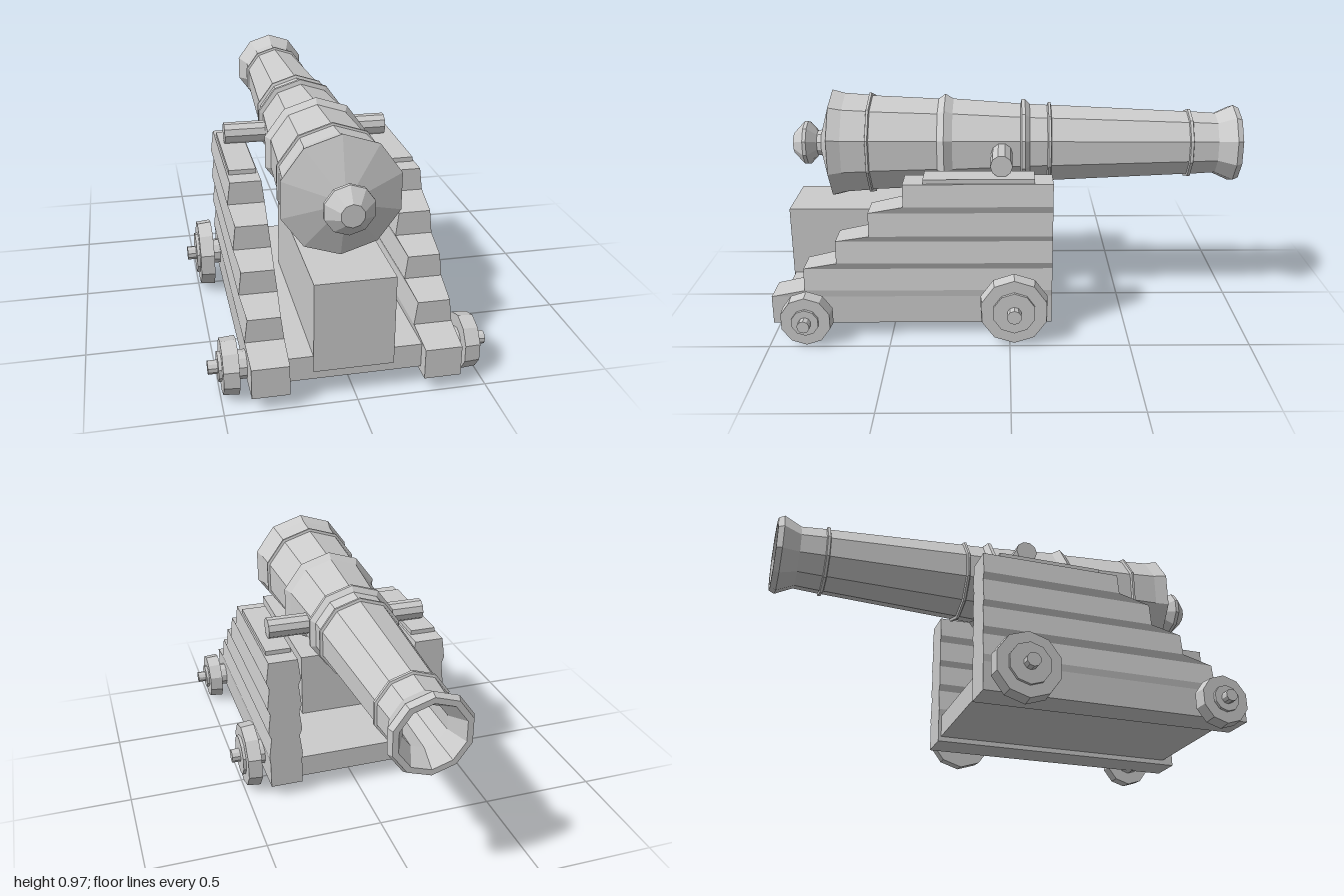
import * as THREE from 'three';

const SIDES = 10;
const grey = new THREE.MeshStandardMaterial({ color: 0xcccccc, flatShading: true });

function part(name, geometry, x = 0, y = 0, z = 0) {
  const mesh = new THREE.Mesh(geometry, grey);
  mesh.name = name;
  mesh.position.set(x, y, z);
  return mesh;
}

// Box given by its limits on each axis
function block(name, [x0, x1], [y0, y1], [z0, z1]) {
  return part(name, new THREE.BoxGeometry(x1 - x0, y1 - y0, z1 - z0),
    (x0 + x1) / 2, (y0 + y1) / 2, (z0 + z1) / 2);
}

// Barrel, turned from [z, radius] pairs: knob, breech, rings, muzzle, bore
function barrelGeometry() {
  const profile = [
    [0.945, 0], [0.945, 0.045], [0.895, 0.098], [0.88, 0.098], [0.84, 0.055], [0.82, 0.06],
    [0.765, 0.24], [0.71, 0.225],
    [0.607, 0.217], [0.605, 0.226], [0.595, 0.226], [0.592, 0.214],
    [0.305, 0.2], [0.275, 0.221], [0.24, 0.2],
    [-0.05, 0.178], [-0.055, 0.197], [-0.07, 0.197], [-0.09, 0.176],
    [-0.165, 0.172], [-0.17, 0.184], [-0.18, 0.184], [-0.183, 0.172],
    [-0.775, 0.143], [-0.778, 0.153], [-0.79, 0.153], [-0.793, 0.143],
    [-0.9, 0.136], [-0.975, 0.171], [-1, 0.159],
    [-1, 0.135], [-0.92, 0.09], [-0.6, 0.085], [-0.6, 0],
  ];
  const points = profile.map(([z, r]) => new THREE.Vector2(r, -z));
  return new THREE.LatheGeometry(points, SIDES).rotateX(-Math.PI / 2);
}

// Stepped side cheek lofted through rows of [height, rear z, half thickness]
function cheekGeometry() {
  const rows = [
    [0.065, 1, 0.071], [0.187, 1, 0.071],
    [0.216, 0.86, 0.075], [0.31, 0.86, 0.063],
    [0.339, 0.72, 0.075], [0.433, 0.72, 0.064],
    [0.459, 0.58, 0.075], [0.557, 0.58, 0.064],
    [0.587, 0.435, 0.075], [0.68, 0.435, 0.063],
  ];
  const front = -0.178;
  const positions = [], index = [];
  for (const [y, z, t] of rows) positions.push(-t, y, z, t, y, z, t, y, front, -t, y, front);
  for (let i = 0; i < rows.length - 1; i++) {
    for (let k = 0; k < 4; k++) {
      const a = i * 4 + k, b = i * 4 + (k + 1) % 4;
      index.push(a, b, b + 4, a, b + 4, a + 4);
    }
  }
  const n = (rows.length - 1) * 4;
  index.push(n, n + 1, n + 2, n, n + 2, n + 3, 0, 2, 1, 0, 3, 2);
  const geometry = new THREE.BufferGeometry();
  geometry.setAttribute('position', new THREE.Float32BufferAttribute(positions, 3));
  geometry.setIndex(index);
  geometry.computeVertexNormals();
  return geometry;
}

// Wheel with inner hub, outer boss and axle end, turned about x; side is +1 or -1
function wheel(name, side, radius, boss, axle, y, z) {
  const group = new THREE.Group();
  group.name = name;
  const disc = (label, r0, r1, x0, x1) => {
    const geometry = new THREE.CylinderGeometry(r1, r0, x1 - x0, SIDES);
    geometry.rotateX(-Math.PI / 2).rotateY(side * Math.PI / 2).rotateZ(0);
    // the cylinder axis now runs along x, wide end towards the carriage
    geometry.rotateY(Math.PI);
    group.add(part(label, geometry, side * (x0 + x1) / 2));
  };
  disc('wheelHub', 0.055, 0.055, 0.38, 0.44);
  disc('wheelDisc', radius, radius * 0.96, 0.432, 0.492);
  disc('wheelBoss', boss, boss, 0.49, 0.505);
  disc('axleEnd', axle, axle, 0.5, 0.542);
  group.position.set(0, y, z);
  return group;
}

export function createModel() {
  const model = new THREE.Group();
  model.name = 'cannon';

  // Gun: barrel with its cross trunnion, turned very slightly to one side
  const gun = new THREE.Group();
  gun.name = 'gun';
  gun.position.set(-0.01, 0.737, 0);
  gun.rotation.y = -0.0096;
  gun.add(part('barrel', barrelGeometry()));
  const trunnion = new THREE.CylinderGeometry(0.046, 0.046, 0.705, SIDES).rotateZ(Math.PI / 2);
  gun.add(part('trunnion', trunnion, 0, 0.003, 0.03));
  model.add(gun);

  // Carriage floor and the raised bed under the breech
  model.add(block('carriageFloor', [-0.27, 0.27], [0.087, 0.185], [-0.165, 0.95]));
  model.add(block('breechBed', [-0.16, 0.148], [0.12, 0.485], [0.2, 0.955]));

  // Cheeks, cap plates and wheels on both sides
  const cheek = cheekGeometry();
  for (const side of [-1, 1]) {
    const label = side > 0 ? 'left' : 'right';
    model.add(part(label + 'Cheek', cheek, side * 0.327));
    const cap = new THREE.BoxGeometry(0.11, 0.028, 0.455);
    model.add(part(label + 'CapPlate', cap, side * 0.328, 0.685, 0.125));
    model.add(wheel(label + 'MuzzleWheel', side, 0.147, 0.09, 0.03, 0.157, -0.018));
    model.add(wheel(label + 'BreechWheel', side, 0.11, 0.057, 0.026, 0.117, 0.846));
  }
  return model;
}
